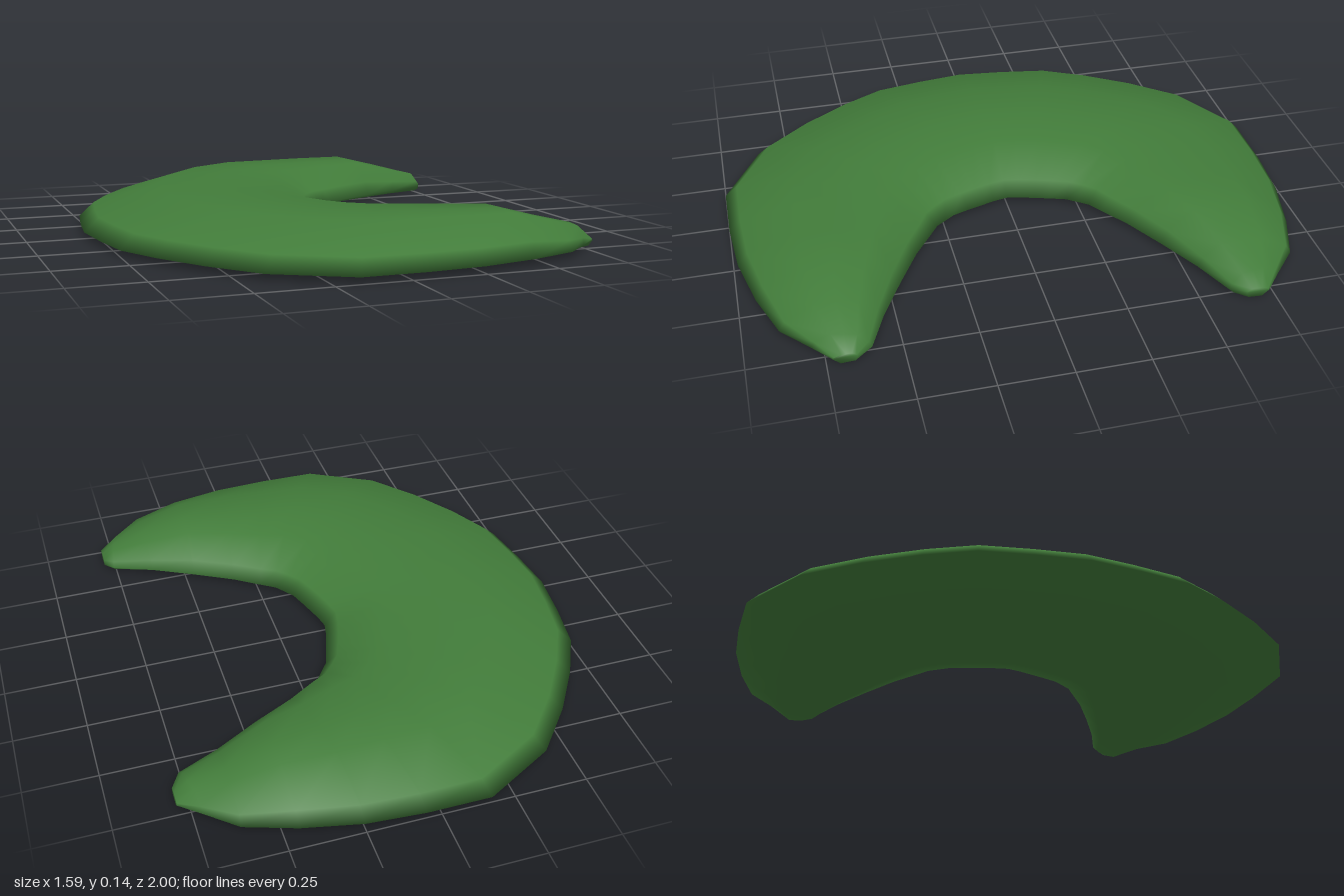
import * as THREE from 'three';

// Half of the crescent, tip to middle: outer x, outer z, inner x, inner z, top height
const HALF = [
  [0.79, -0.73, 0.79, -0.65, 0.035],
  [0.72, -0.79, 0.76, -0.60, 0.075],
  [0.62, -0.88, 0.62, -0.54, 0.105],
  [0.45, -0.94, 0.47, -0.46, 0.145],
  [0.25, -0.985, 0.33, -0.38, 0.145],
  [0.05, -1.0, 0.24, -0.315, 0.145],
  [-0.17, -1.0, 0.19, -0.28, 0.145],
  [-0.42, -0.86, 0.165, -0.245, 0.145],
  [-0.56, -0.69, 0.14, -0.21, 0.145],
  [-0.67, -0.52, 0.12, -0.15, 0.145],
  [-0.75, -0.36, 0.105, -0.10, 0.145],
  [-0.78, -0.18, 0.09, -0.05, 0.145],
  [-0.80, 0, 0.08, 0, 0.145],
];

// Cross-section: fraction from outer to inner edge, height for a full-height section
const SECTION = [
  [0, 0.022], [0.06, 0.072], [0.34, 0.145], [0.55, 0.145], [0.77, 0.142],
  [0.95, 0.072], [1, 0.022], [0.9, 0.003], [0.3, 0],
];

function crescentGeometry() {
  const mirrored = HALF.slice(0, -1).reverse().map(([a, b, c, d, h]) => [a, -b, c, -d, h]);
  const stations = [...HALF, ...mirrored];
  const n = SECTION.length;
  const positions = [];
  const index = [];

  for (const [ox, oz, ix, iz, top] of stations) {
    for (const [f, y] of SECTION) {
      const height = y > 0.03 ? 0.022 + (y - 0.022) * (top - 0.022) / 0.123 : y;
      positions.push(ox + (ix - ox) * f, height, oz + (iz - oz) * f);
    }
  }

  // Skin between neighbouring sections
  for (let s = 0; s < stations.length - 1; s++) {
    for (let j = 0; j < n; j++) {
      const k = (j + 1) % n;
      const a = s * n + j, b = (s + 1) * n + j;
      const c = (s + 1) * n + k, d = s * n + k;
      index.push(a, b, c, a, c, d);
    }
  }

  // Close both tips
  const last = (stations.length - 1) * n;
  for (let j = 1; j < n - 1; j++) {
    index.push(0, j, j + 1);
    index.push(last, last + j + 1, last + j);
  }

  const geometry = new THREE.BufferGeometry();
  geometry.setAttribute('position', new THREE.Float32BufferAttribute(positions, 3));
  geometry.setIndex(index);
  geometry.computeVertexNormals();
  return geometry;
}

export function createModel() {
  const green = new THREE.MeshStandardMaterial({ color: 0x427c3a });
  green.name = 'leafGreen';

  const crescent = new THREE.Mesh(crescentGeometry(), green);
  crescent.name = 'crescentBody';

  const model = new THREE.Group();
  model.name = 'crescent';
  model.add(crescent);
  return model;
}
